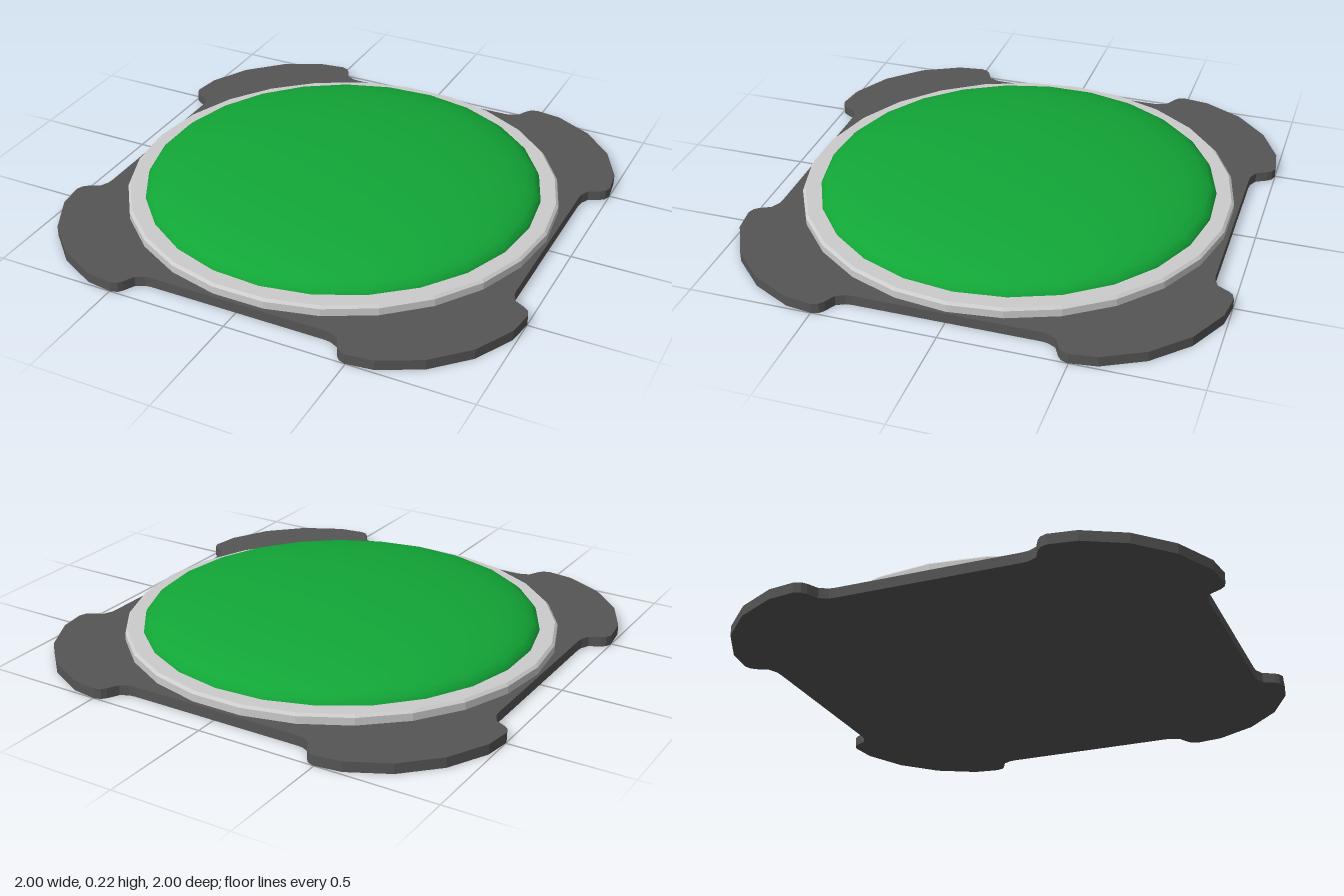
import * as THREE from 'three';

// Quarter of the plate outline: one corner tab between two notches
const CORNER = [
  [0.905, 0.37], [0.908, 0.395], [0.925, 0.43], [0.97, 0.453], [0.988, 0.468],
  [0.998, 0.495], [0.983, 0.605], [0.9, 0.767],
];

function material(color, flatShading = false) {
  return new THREE.MeshStandardMaterial({ color, flatShading });
}

function plateShape() {
  // Mirror across the diagonal, then turn the corner four times
  const corner = [...CORNER, ...CORNER.map(([x, y]) => [y, x]).reverse()];
  const points = [];
  for (let i = 0; i < 4; i++) {
    for (const [x, y] of corner) {
      points.push(new THREE.Vector2(x, y).rotateAround(new THREE.Vector2(), i * Math.PI / 2));
    }
  }
  const scale = 1 / 0.998;
  return new THREE.Shape(points.map((p) => p.multiplyScalar(scale)));
}

function lathe(profile, sides) {
  // Start on the x axis so that a corner of the polygon points to +x
  return new THREE.LatheGeometry(profile.map(([r, y]) => new THREE.Vector2(r, y)), sides, Math.PI / 2);
}

export function createModel() {
  const group = new THREE.Group();
  const add = (name, geometry, mat) => {
    const mesh = new THREE.Mesh(geometry, mat);
    mesh.name = name;
    group.add(mesh);
  };

  // Dark base plate with four corner tabs
  const plate = new THREE.ExtrudeGeometry(plateShape(), { depth: 0.042, bevelEnabled: false });
  plate.rotateX(-Math.PI / 2);
  add('basePlate', plate, material(0x555555));

  // Faceted collar with a small bevel on its upper edge
  add('collarRing', lathe([
    [0.895, 0.03], [0.895, 0.073], [0.884, 0.083], [0.78, 0.083],
  ], 26), material(0xcccccc, true));

  // Shallow green dome
  const dome = [];
  const rows = 12;
  for (let i = 0; i <= rows; i++) {
    const a = (i / rows) * Math.PI / 2;
    dome.push([i === rows ? 0 : 0.822 * Math.cos(a), 0.08 + 0.144 * Math.sin(a)]);
  }
  add('domeButton', lathe(dome, 25), material(0x12a637));

  return group;
}
